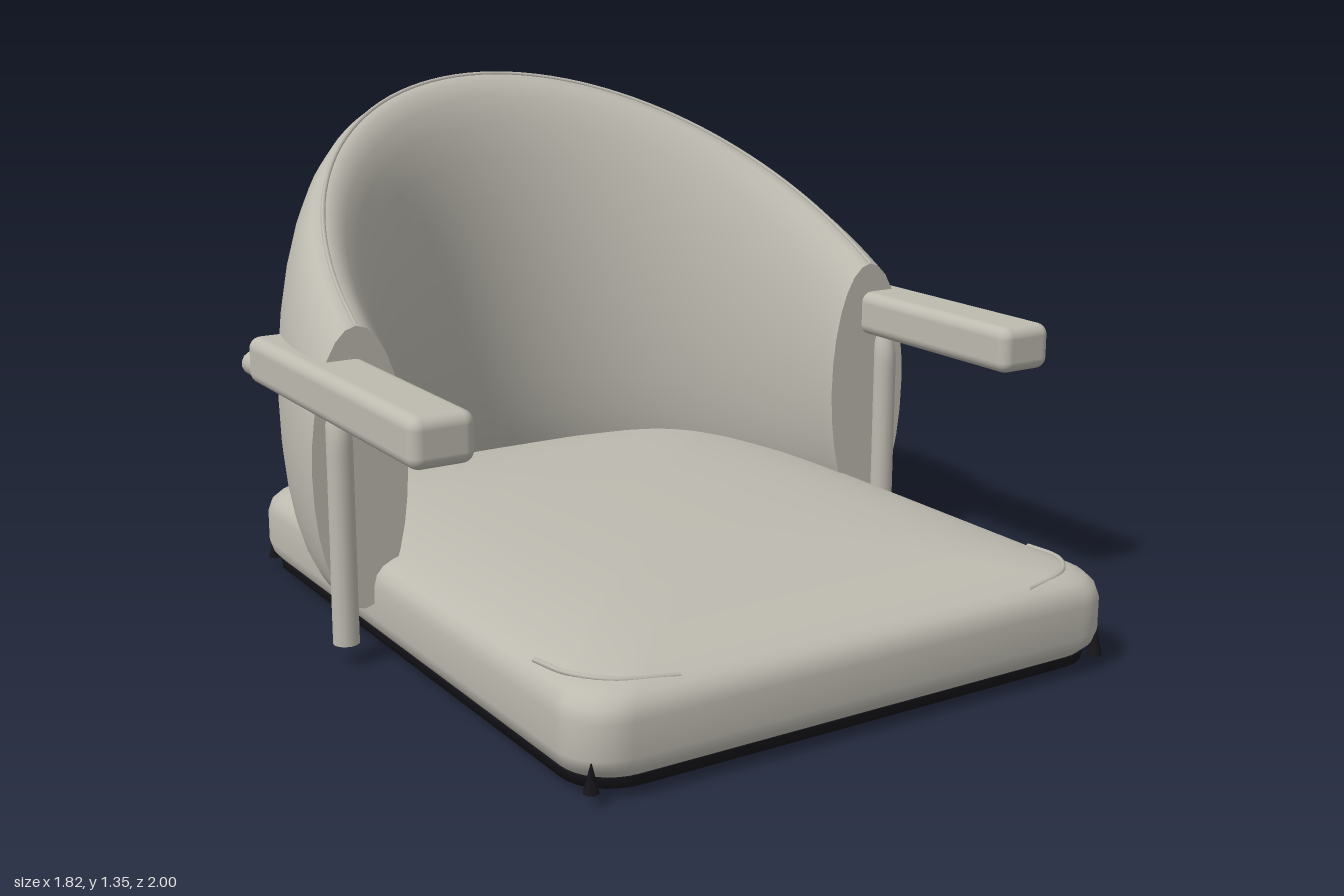
import * as THREE from 'three';
import { RoundedBoxGeometry } from 'three/addons/geometries/RoundedBoxGeometry.js';

const upholstery = new THREE.MeshStandardMaterial({ color: 0xbdbab0, side: THREE.DoubleSide });
upholstery.name = 'warm grey';
const blackBase = new THREE.MeshStandardMaterial({ color: 0x15151a });
blackBase.name = 'black';

const SEAT_Z = 0.09, HALF_W = 0.75, HALF_D = 0.91;

// Skin a list of closed loops and cap both ends
function loft(loops) {
  const n = loops[0].length, pos = [], idx = [];
  loops.forEach(l => l.forEach(p => pos.push(p.x, p.y, p.z)));
  for (let i = 0; i < loops.length - 1; i++) {
    for (let j = 0; j < n; j++) {
      const k = (j + 1) % n;
      const a = i * n + j, b = i * n + k, c = a + n, d = b + n;
      idx.push(a, b, d, a, d, c);
    }
  }
  const cap = (loop, flip) => {
    const start = pos.length / 3;
    const mid = new THREE.Vector3();
    loop.forEach(p => { pos.push(p.x, p.y, p.z); mid.addScaledVector(p, 1 / n); });
    pos.push(mid.x, mid.y, mid.z);
    for (let j = 0; j < n; j++) {
      const a = start + j, b = start + (j + 1) % n;
      if (flip) idx.push(start + n, b, a);
      else idx.push(start + n, a, b);
    }
  };
  cap(loops[0], true);
  cap(loops[loops.length - 1], false);
  const g = new THREE.BufferGeometry();
  g.setAttribute('position', new THREE.Float32BufferAttribute(pos, 3));
  g.setIndex(idx);
  g.computeVertexNormals();
  return g;
}

// Rounded rectangle in plan, inset from the seat outline
function seatLoop(inset, y) {
  const w = HALF_W - inset, d = HALF_D - inset, r = Math.min(0.12, w * 0.6);
  const pts = [];
  for (let q = 0; q < 4; q++) {
    const sx = q === 0 || q === 3 ? 1 : -1, sz = q < 2 ? -1 : 1;
    for (let i = 0; i <= 8; i++) {
      const t = (q + i / 8) * Math.PI / 2;
      pts.push(new THREE.Vector3(sx * (w - r) + r * Math.cos(t), y, SEAT_Z + sz * (d - r) - r * Math.sin(t)));
    }
  }
  return pts;
}

// Point on the curved back: angle around the plan, s across the thickness, v up the height
function backPoint(theta, s, v) {
  const top = 0.84 + 0.5 * Math.sin(theta);
  return new THREE.Vector3(
    (0.775 + 0.125 * s) * Math.cos(theta),
    0.13 + v * (top - 0.13),
    -0.02 - (0.83 + 0.15 * s) * Math.sin(theta));
}

export function createModel() {
  const model = new THREE.Group();
  model.name = 'armchair';
  const add = (name, geometry, material, parent = model) => {
    const m = new THREE.Mesh(geometry, material);
    m.name = name;
    parent.add(m);
    return m;
  };

  // Domed seat cushion: pairs of inset and height
  const cushion = [[0.03, 0.045], [0.008, 0.07], [0, 0.1], [0, 0.18], [0.008, 0.21], [0.025, 0.23],
    [0.05, 0.243], [0.1, 0.258], [0.18, 0.275], [0.28, 0.288], [0.42, 0.296], [0.6, 0.3], [0.7, 0.3]];
  add('seatCushion', loft(cushion.map(([i, y]) => seatLoop(i, y))), upholstery);

  // Black base and its underside panel
  add('seatBase', loft([[0.05, 0.01], [0.025, 0.025], [0.022, 0.05]].map(([i, y]) => seatLoop(i, y))), blackBase);
  add('undersidePanel', new THREE.BoxGeometry(1.19, 0.01, 1.45), upholstery).position.set(0, 0.005, SEAT_Z);

  // Corner notches and piping on the cushion
  for (const sx of [-1, 1]) {
    for (const sz of [-1, 1]) {
      add('cornerNotch', new THREE.ConeGeometry(0.018, 0.07, 8), blackBase)
        .position.set(sx * 0.713, 0.065, SEAT_Z + sz * 0.873);
      const seam = new THREE.CatmullRomCurve3(
        [[0.71, 0.63], [0.695, 0.75], [0.63, 0.83], [0.49, 0.865]].map(
          ([x, z], i) => new THREE.Vector3(sx * x, i === 0 || i === 3 ? 0.238 : 0.246, SEAT_Z + sz * z)));
      add('cornerPiping', new THREE.TubeGeometry(seam, 16, 0.007, 6), upholstery);
    }
  }

  // Wraparound padded back with a sloping top edge
  const sections = [];
  for (let i = 0; i <= 48; i++) {
    const loop = [];
    for (let j = 0; j < 28; j++) {
      const p = j / 28 * Math.PI * 2;
      loop.push(backPoint(i / 48 * Math.PI, Math.sin(p), (1 + Math.cos(p)) / 2));
    }
    sections.push(loop);
  }
  add('backrest', loft(sections), upholstery);
  const rim = [];
  for (let i = 0; i <= 24; i++) rim.push(backPoint(i / 24 * Math.PI, 0, 1));
  add('backPiping', new THREE.TubeGeometry(new THREE.CatmullRomCurve3(rim), 64, 0.006, 6), upholstery);

  // Arms: padded rest on a bent tube
  for (const side of [-1, 1]) {
    const arm = new THREE.Group();
    arm.name = side > 0 ? 'leftArm' : 'rightArm';
    model.add(arm);
    add('armPad', new RoundedBoxGeometry(0.16, 0.12, 0.96, 4, 0.03), upholstery, arm)
      .position.set(side * 0.83, 0.7, 0.08);
    const v = (y, z) => new THREE.Vector3(side * 0.83, y, z);
    const path = new THREE.CurvePath();
    path.add(new THREE.LineCurve3(v(0.055, -0.015), v(0.55, -0.015)));
    path.add(new THREE.QuadraticBezierCurve3(v(0.55, -0.015), v(0.648, -0.015), v(0.648, -0.11)));
    path.add(new THREE.LineCurve3(v(0.648, -0.11), v(0.648, -0.565)));
    add('armTube', new THREE.TubeGeometry(path, 48, 0.033, 14), upholstery, arm);
  }
  return model;
}
